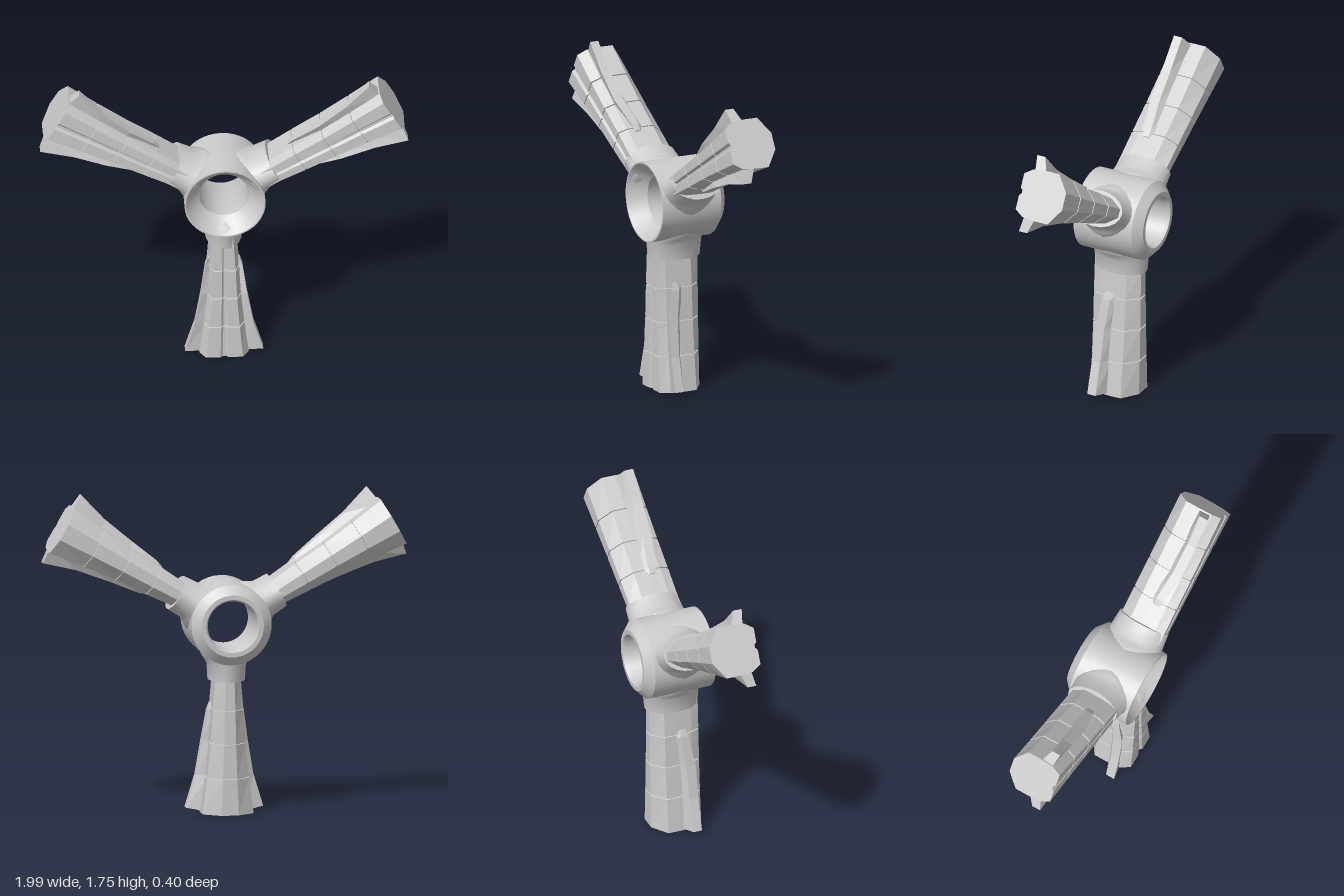
import * as THREE from 'three';
import { toCreasedNormals } from 'three/addons/utils/BufferGeometryUtils.js';

const CENTRE_Y = 1.05;
const smooth = new THREE.MeshStandardMaterial({ color: 0xcccccc, side: THREE.DoubleSide });
const flat = new THREE.MeshStandardMaterial({ color: 0xcccccc, flatShading: true });

// Skin a stack of rings (top to bottom, each turning from +z to +x) and cap both ends
function loft(rings) {
  const n = rings[0].length, pos = rings.flat(2), index = [];
  for (let i = 0; i < rings.length - 1; i++) {
    for (let j = 0; j < n; j++) {
      const a = i * n + j, b = i * n + (j + 1) % n;
      index.push(a, a + n, b, b, a + n, b + n);
    }
  }
  const last = (rings.length - 1) * n;
  for (const [ring, start, top] of [[rings[0], 0, true], [rings.at(-1), last, false]]) {
    const c = pos.length / 3;
    for (let k = 0; k < 3; k++) pos.push(ring.reduce((s, p) => s + p[k], 0) / n);
    for (let j = 0; j < n; j++) {
      const a = start + j, b = start + (j + 1) % n;
      index.push(c, top ? a : b, top ? b : a);
    }
  }
  const g = new THREE.BufferGeometry();
  g.setAttribute('position', new THREE.Float32BufferAttribute(pos, 3));
  g.setIndex(index);
  const out = g.toNonIndexed();
  out.computeVertexNormals();
  return out;
}

function addMesh(parent, name, geometry, material) {
  const mesh = new THREE.Mesh(geometry, material);
  mesh.name = name;
  parent.add(mesh);
  return mesh;
}

// Ring hub: dished front, chamfered back, round bore
function makeHub(parent) {
  const profile = [
    [0.145, -0.2], [0.17, -0.2], [0.22, -0.155], [0.22, 0.2], [0.212, 0.2],
    [0.152, 0.125], [0.135, 0.11], [0.135, -0.18], [0.145, -0.2],
  ].map(([r, z]) => new THREE.Vector2(r, z));
  const g = new THREE.LatheGeometry(profile, 40);
  g.rotateX(Math.PI / 2);
  addMesh(parent, 'hub', toCreasedNormals(g, 0.5), smooth).position.y = CENTRE_Y;
}

// Oval socket flaring into the hub: [distance from centre, half width, half depth]
function makeSocket(parent) {
  const steps = [[0.165, 0.145, 0.12], [0.185, 0.137, 0.155], [0.205, 0.122, 0.166],
    [0.235, 0.105, 0.158], [0.32, 0.1, 0.15]];
  const rings = steps.map(([d, rx, rz]) => Array.from({ length: 20 }, (_, j) => {
    const a = j / 20 * Math.PI * 2;
    return [rx * Math.sin(a), -d, 0.022 + rz * Math.cos(a)];
  }));
  addMesh(parent, 'socket', toCreasedNormals(loft(rings), 0.6), smooth);
}

// Half outline of the blade end, from front centre round to the back
const HALF = [[0.008, 0.147], [0.022, 0.16], [0.1, 0.16], [0.133, 0.11],
  [0.14, 0.03], [0.14, -0.045], [0.048, -0.11]];
// Width of the blade relative to its end, by height
const WIDTHS = [[0.86, 0.45], [0.73, 0.5], [0.57, 0.6], [0.39, 0.68], [0.2, 0.82], [0, 1]];

function widthAt(y) {
  const i = Math.max(1, WIDTHS.findIndex(([h]) => h <= y));
  const [y0, w0] = WIDTHS[i - 1], [y1, w1] = WIDTHS[i];
  return w0 + (w1 - w0) * (y0 - y) / (y0 - y1);
}

function bladeRing(y, inset = 0) {
  const w = widthAt(y);
  const right = HALF.map(([x, z]) => [
    x * w * (1 - inset), y - CENTRE_Y, 0.025 + (z - 0.025) * (1 - inset)]);
  return [...right, ...right.map(([x, h, z]) => [-x, h, z]).reverse()];
}

// Flared blade with narrow seams between its plates
function makeBlade(parent) {
  const rings = [bladeRing(0.86), bladeRing(0.73)];
  for (const y of [0.575, 0.39, 0.2]) {
    rings.push(bladeRing(y + 0.004), bladeRing(y + 0.003, 0.06),
      bladeRing(y - 0.003, 0.06), bladeRing(y - 0.004));
  }
  rings.push(bladeRing(0));
  addMesh(parent, 'blade', loft(rings), flat);
}

// Side fin: [height, tip width, tip back z, tip front z]
const FIN = [[0.6, 0.086, 0.045, 0.075], [0.56, 0.1, 0.04, 0.085], [0.39, 0.125, 0.062, 0.118],
  [0.2, 0.158, 0.07, 0.12], [0.005, 0.212, 0.07, 0.12]];

function makeFin(parent, side) {
  const rings = FIN.map(([y, tip, back, front]) => {
    const root = 0.11 * widthAt(y), h = y - CENTRE_Y;
    const tipH = h + (tip > 0.2 ? 0.016 : 0);
    const ring = [[root, h, back - 0.04], [root, h, front - 0.02],
      [tip, tipH, front], [tip, tipH, back]].map(([x, v, z]) => [x * side, v, z]);
    return side > 0 ? ring : ring.reverse();
  });
  addMesh(parent, side > 0 ? 'leftFin' : 'rightFin', loft(rings), flat);
}

export function createModel() {
  const model = new THREE.Group();
  model.name = 'threeArmedHub';
  makeHub(model);
  // Three equal arms around the hub
  ['lowerArm', 'upperLeftArm', 'upperRightArm'].forEach((name, i) => {
    const arm = new THREE.Group();
    arm.name = name;
    arm.position.y = CENTRE_Y;
    arm.rotation.z = i * Math.PI * 2 / 3;
    makeSocket(arm);
    makeBlade(arm);
    makeFin(arm, 1);
    makeFin(arm, -1);
    model.add(arm);
  });
  return model;
}
